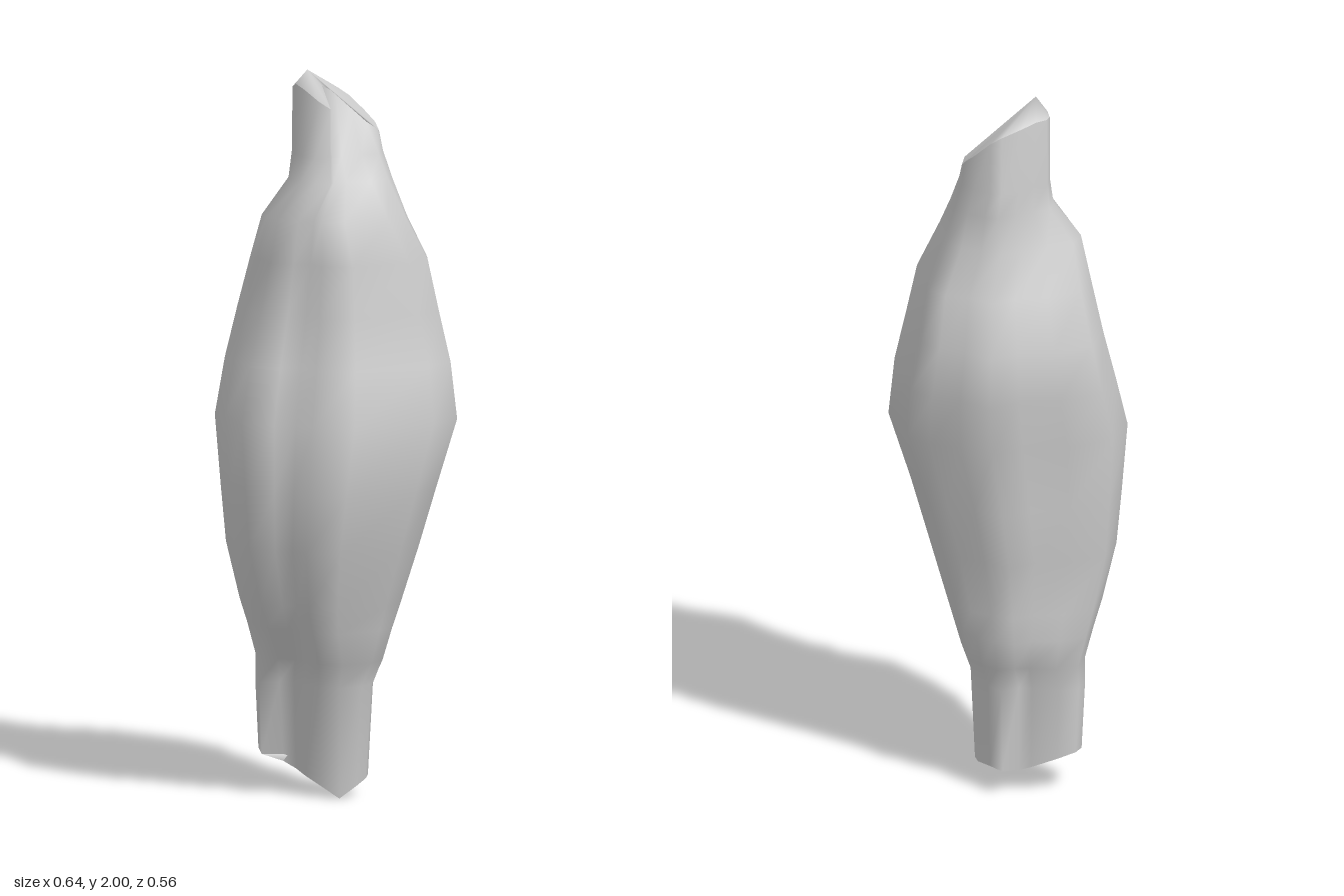
import * as THREE from 'three';

// Three key outlines as [x, z], all running from +x round to the front
const MIDDLE = [[.275, 0], [.32, .07], [.31, .145], [.23, .225], [0, .285], [-.11, .24], [-.14, .165], [-.20, .16], [-.28, .105],
  [-.30, -.04], [-.32, -.08], [-.27, -.195], [-.14, -.245], [-.02, -.24], [.07, -.285], [.15, -.21], [.23, -.18], [.285, -.115]];
const TOP = [[.135, -.02], [.13, .01], [.11, .05], [.06, .06], [.01, .04], [-.02, .06], [-.03, .09], [-.07, .08], [-.10, .05],
  [-.11, 0], [-.11, -.04], [-.10, -.07], [-.06, -.09], [-.02, -.11], [.03, -.13], [.06, -.12], [.10, -.09], [.13, -.05]];
const BOTTOM = [[.09, -.02], [.09, .03], [.08, .05], [.05, .075], [0, .09], [-.05, .06], [-.08, .02], [-.10, -.02], [-.13, -.05],
  [-.19, -.05], [-.19, -.10], [-.17, -.14], [-.12, -.14], [-.05, -.12], [-.02, -.10], [.03, -.14], [.06, -.09], [.09, -.06]];

// Heights: y, x from/to, z from/to, blend (-1 bottom outline, 0 middle, 1 top)
const LEVELS = [
  [0.06, -.19, .09, -.14, .07, -1],
  [0.31, -.20, .10, -.15, .11, -.9],
  [0.38, -.20, .125, -.17, .155, -.7],
  [0.47, -.225, .15, -.20, .18, -.35],
  [0.54, -.25, .17, -.19, .20, -.25],
  [0.70, -.29, .215, -.215, .25, -.1],
  [0.86, -.305, .26, -.24, .28, 0],
  [1.05, -.32, .32, -.25, .285, 0],
  [1.20, -.285, .31, -.28, .235, 0],
  [1.34, -.25, .28, -.27, .21, .05],
  [1.48, -.22, .25, -.21, .18, .12],
  [1.60, -.195, .19, -.155, .16, .45],
  [1.70, -.12, .155, -.14, .11, .9],
  [1.77, -.11, .138, -.135, .095, 1],
];

// Jagged rim of the crown: a forward lobe, a groove, then a slope down to +x
const CROWN = [[.13, 1.82, -.03], [.12, 1.83, 0], [.09, 1.85, 0], [.05, 1.89, -.02], [.01, 1.93, -.03], [-.03, 1.95, -.02],
  [-.025, 1.90, .075], [-.055, 1.92, .06], [-.09, 1.95, .02], [-.105, 1.96, -.01], [-.11, 1.95, -.03], [-.10, 1.95, -.05],
  [-.07, 1.95, -.065], [-.03, 1.94, -.085], [.03, 1.93, -.12], [.06, 1.91, -.11], [.10, 1.87, -.09], [.125, 1.84, -.06]];

// Blend outlines, then stretch the result to the extents of the level
function ring([y, x0, x1, z0, z1, blend]) {
  const key = blend < 0 ? BOTTOM : TOP, t = Math.abs(blend);
  const pts = MIDDLE.map((m, i) => m.map((v, k) => THREE.MathUtils.lerp(v, key[i][k], t)));
  const fit = (k, a, b) => {
    const vals = pts.map(p => p[k]), lo = Math.min(...vals), hi = Math.max(...vals);
    return v => THREE.MathUtils.mapLinear(v, lo, hi, a, b);
  };
  const fx = fit(0, x0, x1), fz = fit(1, z0, z1);
  return pts.map(([x, z]) => new THREE.Vector3(fx(x), y, fz(z)));
}

function geometryFrom(points, index) {
  const g = new THREE.BufferGeometry().setFromPoints(points);
  g.setIndex(index);
  g.computeVertexNormals();
  return g;
}

// Smooth skin through all rings
function skin(rings) {
  const n = rings[0].length, index = [];
  for (let r = 0; r < rings.length - 1; r++) {
    for (let i = 0; i < n; i++) {
      const j = (i + 1) % n, a = r * n + i, b = r * n + j;
      index.push(a, a + n, b, b, a + n, b + n);
    }
  }
  return geometryFrom(rings.flat(), index);
}

// Fan closing one end
function cap(loop, centre, up) {
  const n = loop.length, index = [];
  for (let i = 0; i < n; i++) {
    const j = (i + 1) % n;
    index.push(n, ...(up ? [j, i] : [i, j]));
  }
  return geometryFrom([...loop, centre], index);
}

export function createModel() {
  const group = new THREE.Group();
  group.name = 'rockSpindle';
  const material = new THREE.MeshStandardMaterial({ color: 0xcccccc, side: THREE.DoubleSide });
  const crown = CROWN.map(p => new THREE.Vector3(...p));
  const rings = [...LEVELS.map(ring), crown];

  // The foot comes to a point in front and steps up towards the back prong
  const foot = rings[0];
  foot.forEach(p => { p.y = 0.01 + 0.35 * Math.abs(p.x) + 0.25 * (0.07 - p.z); });
  foot[4].y = 0;

  const add = (name, geometry) => {
    const mesh = new THREE.Mesh(geometry, material);
    mesh.name = name;
    group.add(mesh);
  };
  add('rockBody', skin(rings));
  add('brokenTop', cap(crown, new THREE.Vector3(-0.075, 2, 0), true));
  add('brokenBase', cap(foot, new THREE.Vector3(-0.03, 0.1, -0.03), false));
  return group;
}
